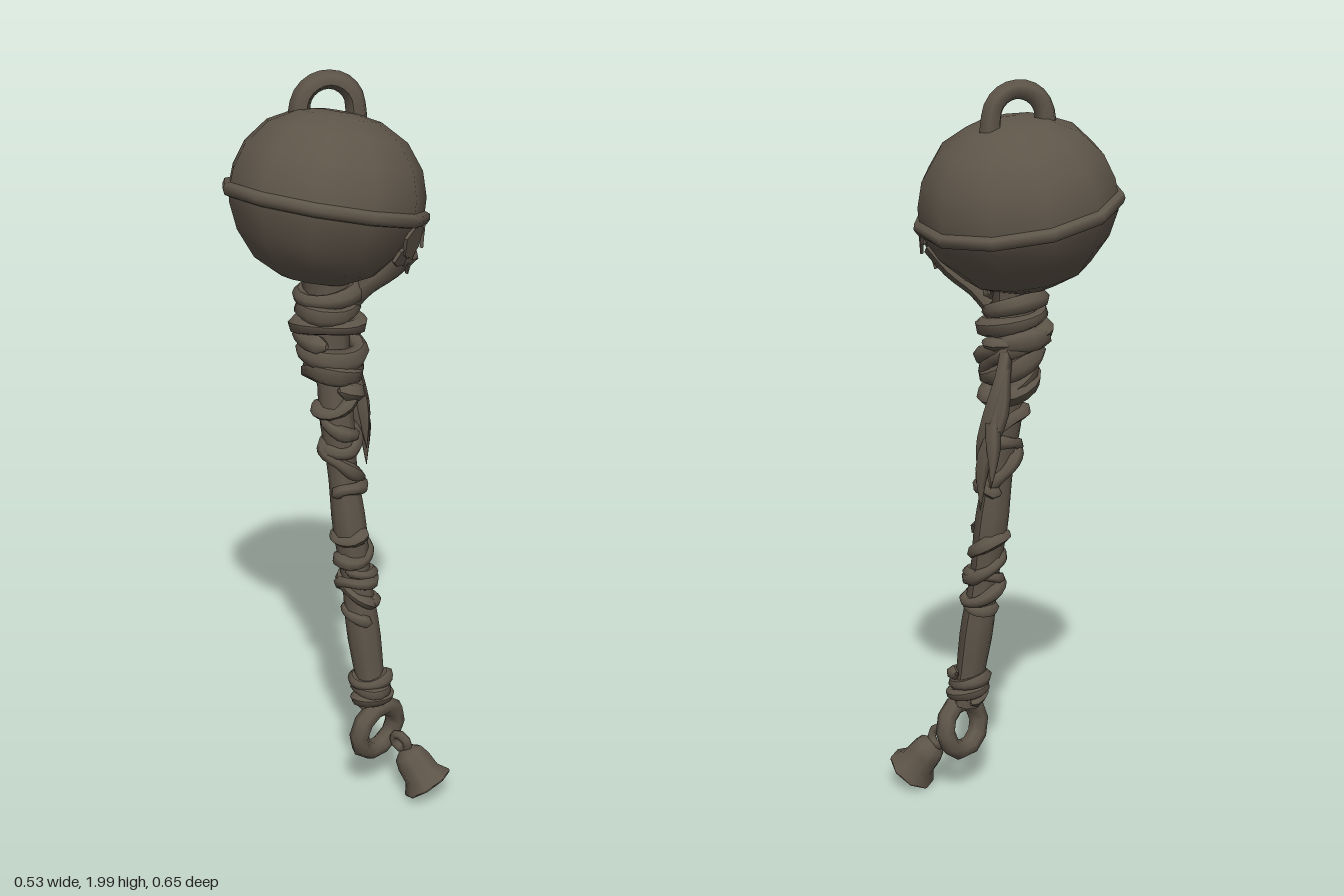
import * as THREE from 'three';

const V = (x, y, z) => new THREE.Vector3(x, y, z);
const metal = new THREE.MeshStandardMaterial({ color: 0x5e5549, side: THREE.DoubleSide });
metal.name = 'dark bronze';

function add(group, name, geometry) {
  const mesh = new THREE.Mesh(geometry, metal);
  mesh.name = name;
  group.add(mesh);
  return mesh;
}

// Tube along a curve whose radius follows radius(t)
function sweep(points, radius, steps, sides) {
  const curve = new THREE.CatmullRomCurve3(points);
  const geo = new THREE.TubeGeometry(curve, steps, 1, sides);
  const pos = geo.attributes.position, v = V(0, 0, 0);
  for (let i = 0; i <= steps; i++) {
    const p = curve.getPointAt(i / steps), r = radius(i / steps);
    for (let j = 0; j <= sides; j++) {
      const k = i * (sides + 1) + j;
      v.fromBufferAttribute(pos, k).sub(p).multiplyScalar(r).add(p);
      pos.setXYZ(k, v.x, v.y, v.z);
    }
  }
  geo.computeVertexNormals();
  return geo;
}

// Centre line of the bent handle
const axis = [
  V(-0.015, 1.5, -0.025), V(-0.015, 1.3, -0.012), V(-0.018, 1.15, 0.01),
  V(-0.018, 1.0, 0.032), V(0, 0.6, 0.083), V(0.015, 0.27, 0.13),
];
function axisAt(y) {
  const i = axis.findIndex((p, k) => k > 0 && y >= p.y);
  const a = axis[i - 1], b = axis[i];
  return a.clone().lerp(b, (a.y - y) / (a.y - b.y));
}

// Cord wound round the handle in slanted, slightly uneven turns; negative turns wind the other way
function wrap(top, bottom, turns, r0, r1, thick, phase, slant) {
  const n = Math.ceil(Math.abs(turns) * 9), pts = [];
  for (let i = 0; i <= n; i++) {
    const t = i / n, a = phase + t * turns * Math.PI * 2;
    const p = axisAt(top + (bottom - top) * t);
    const r = (r0 + (r1 - r0) * t) * (1 + 0.08 * Math.sin(i * 1.7 + phase));
    p.x += r * Math.cos(a);
    p.z += r * Math.sin(a);
    p.y += slant * Math.cos(a + 0.7 + t * 3);
    pts.push(p);
  }
  return sweep(pts, t => thick * (t < 0.01 || t > 0.99 ? 0.3 : 1 + 0.2 * Math.sin(t * 31 + phase)), n * 2, 6);
}

function makeHead() {
  const g = new THREE.Group();
  g.name = 'head';
  // Two half shells meeting at a raised lip
  const outline = (...p) => p.map(q => new THREE.Vector2(q[0], q[1]));
  const ball = new THREE.Group();
  ball.name = 'ball';
  add(ball, 'lowerShell', new THREE.LatheGeometry(outline(
    [0, -0.212], [0.085, -0.204], [0.165, -0.165], [0.222, -0.1], [0.253, -0.035], [0.258, -0.01]), 11, Math.PI));
  add(ball, 'upperShell', new THREE.LatheGeometry(outline(
    [0.258, 0.008], [0.256, 0.05], [0.235, 0.115], [0.185, 0.178], [0.11, 0.218], [0.045, 0.229], [0, 0.228]), 11, Math.PI));
  add(ball, 'seamLip', new THREE.LatheGeometry(outline(
    [0.245, -0.024], [0.268, -0.018], [0.275, -0.004], [0.272, 0.01], [0.25, 0.018]), 11, Math.PI));
  ball.position.set(0, 1.675, -0.045);
  ball.rotation.z = -0.23;
  g.add(ball);

  // Hanging loop on top
  const loop = [];
  for (let i = 0; i <= 8; i++) {
    const a = Math.PI * i / 8, s = -Math.cos(a);
    loop.push(V(0.035 + 0.066 * s, 1.905 + 0.072 * Math.sin(a), -0.072 + 0.034 * s));
  }
  loop.unshift(V(-0.034, 1.86, -0.108));
  loop.push(V(0.104, 1.85, -0.036));
  add(g, 'topLoop', sweep(loop, t => 0.024 + 0.006 * Math.abs(2 * t - 1), 16, 6));

  // Torn flaps at the broken seam
  const flap = new THREE.Shape();
  [[-0.05, 0.04], [0, 0.055], [0.05, 0.03], [0.04, -0.02], [0.012, -0.035], [-0.004, -0.085], [-0.022, -0.03], [-0.045, -0.01]]
    .forEach(([x, y], i) => (i ? flap.lineTo(x, y) : flap.moveTo(x, y)));
  const flapGeo = new THREE.ExtrudeGeometry(flap, { depth: 0.009, bevelEnabled: false });
  [[0.085, 1.59, 0.178, 0.25, 0.35, 0.1, 1], [0.175, 1.605, 0.128, 0.1, 0.8, -0.4, 0.6], [0.05, 1.565, 0.178, 0.4, 0.2, 0.7, 0.6]]
    .forEach(([x, y, z, rx, ry, rz, s]) => {
      const m = add(g, 'tornFlap', flapGeo);
      m.position.set(x, y, z);
      m.rotation.set(rx, ry, rz);
      m.scale.set(s, s, 1);
    });
  // Cloth end tucked under the ball
  add(g, 'tuckedCloth', sweep([V(0.09, 1.57, 0.17), V(0.075, 1.51, 0.115), V(0.045, 1.46, 0.06), V(0.03, 1.42, 0.03)],
    t => 0.03 - 0.008 * t, 8, 6));
  return g;
}

function makeHandle() {
  const g = new THREE.Group();
  g.name = 'handle';
  add(g, 'shaft', sweep(axis, t => (t < 0.25 ? 0.068 - 0.1 * t : 0.043 + 0.003 * Math.sin(t * 25)), 24, 8));
  // Collar cloth, lattice cords and lower bindings
  [
    [1.455, 1.33, 3, 0.068, 0.078, 0.023, 0.5, 0.01],
    [1.34, 1.2, 2.6, 0.078, 0.062, 0.027, 2.4, 0.02],
    [1.3, 1.17, 1.6, 0.07, 0.05, 0.024, 4.6, 0.025],
    [1.18, 0.88, 2.4, 0.046, 0.042, 0.02, 0.8, 0.022],
    [1.12, 0.92, -1.7, 0.046, 0.044, 0.018, 3.4, 0.02],
    [0.8, 0.58, 3.1, 0.042, 0.044, 0.018, 1.1, 0.014],
    [0.7, 0.52, -2.2, 0.042, 0.042, 0.015, 2.9, 0.016],
    [0.365, 0.29, 2.8, 0.044, 0.046, 0.017, 0.3, 0.006],
  ].forEach(w => add(g, 'cordWrap', wrap(...w)));
  return g;
}

function makeTassel() {
  const g = new THREE.Group();
  g.name = 'tassel';
  // Strands spread and split toward pointed ends
  [[0.155, 0.9, -0.045], [0.118, 0.95, -0.05], [0.165, 0.97, -0.09], [0.135, 0.96, -0.025]].forEach(([x, y, z], i) => {
    const d = (i - 1.5) * 0.007;
    add(g, 'tasselStrand', sweep([
      V(0.04, 1.33, -0.04), V(0.085 + d * 0.5, 1.25, -0.062), V(0.115 + d, 1.15, -0.062 + d),
      V((x + 0.13) / 2, 1.04, z * 0.8 - 0.01), V(x, y, z),
    ], t => (t < 0.7 ? 0.017 + 0.008 * t : 0.0226 * (1 - t) / 0.3 + 0.0005), 12, 5));
  });
  return g;
}

function makePendant() {
  const g = new THREE.Group();
  g.name = 'pendant';
  // Ring at the foot of the handle
  const ring = add(g, 'footRing', new THREE.TorusGeometry(0.07, 0.028, 7, 10));
  ring.position.set(0.02, 0.2, 0.14);
  ring.rotation.x = 0.12;

  // Small flared bell hanging forward
  const bell = new THREE.Group();
  bell.name = 'bell';
  const profile = [[0, -0.025], [0.035, -0.04], [0.045, -0.09], [0.07, -0.122], [0.073, -0.115],
    [0.053, -0.085], [0.05, -0.045], [0.042, -0.018], [0.022, -0.002], [0, 0]].map(p => new THREE.Vector2(p[0], p[1]));
  add(bell, 'bellBody', new THREE.LatheGeometry(profile, 8));
  const clapper = add(bell, 'clapper', new THREE.SphereGeometry(0.026, 7, 5));
  clapper.position.y = -0.105;
  const link = add(bell, 'bellLoop', new THREE.TorusGeometry(0.025, 0.013, 6, 8));
  link.position.y = 0.022;
  link.rotation.y = Math.PI / 2;
  bell.position.set(0.062, 0.145, 0.208);
  bell.quaternion.setFromUnitVectors(V(0, -1, 0), V(0.035, -0.125, 0.085).normalize());
  g.add(bell);
  return g;
}

export function createModel() {
  const model = new THREE.Group();
  model.name = 'belledRod';
  model.add(makeHead(), makeHandle(), makeTassel(), makePendant());
  return model;
}
